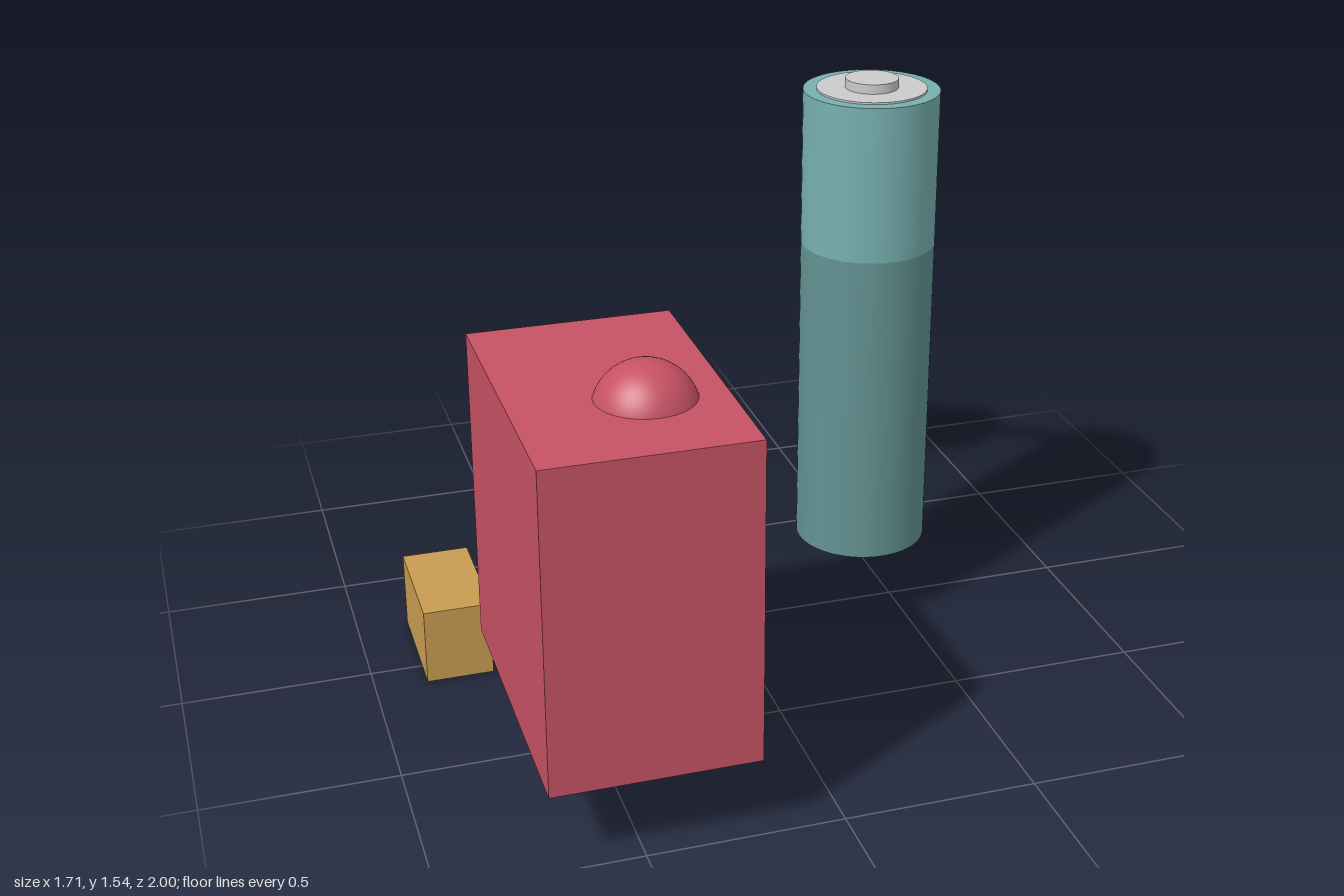
import * as THREE from 'three';

const material = (color) => new THREE.MeshStandardMaterial({ color });
const red = material(0xc65264);
const wood = material(0xc89b52);
const teal = material(0x78b0b0);
const darkTeal = material(0x639292);
const metal = material(0xcccccc);

function add(parent, name, geometry, mat, x = 0, y = 0, z = 0) {
  const mesh = new THREE.Mesh(geometry, mat);
  mesh.name = name;
  mesh.position.set(x, y, z);
  parent.add(mesh);
  return mesh;
}

// Upright cylinder between two heights
function rod(parent, name, radius, y0, y1, mat, x = 0, segments = 64) {
  return add(parent, name, new THREE.CylinderGeometry(radius, radius, y1 - y0, segments),
    mat, x, (y0 + y1) / 2);
}

function group(parent, name, x, y, z) {
  const g = new THREE.Group();
  g.name = name;
  g.position.set(x, y, z);
  parent.add(g);
  return g;
}

export function createModel() {
  const model = new THREE.Group();
  model.name = 'electronicParts';

  // Small wooden block
  add(model, 'smallBlock', new THREE.BoxGeometry(0.18, 0.21, 0.33), wood, -0.77, 0.105, -0.08);

  // Large box with a domed button on its lid
  const box = group(model, 'buttonBox', -0.47, 0.21, 0.605);
  add(box, 'boxBody', new THREE.BoxGeometry(0.52, 0.84, 0.79), red, 0, 0.42, 0);
  add(box, 'domeButton', new THREE.SphereGeometry(0.13, 48, 32), red, 0.065, 0.80, 0.095);

  // Battery: two-tone sleeve, end discs and positive terminal
  const battery = group(model, 'battery', 0.41, 0, -0.02);
  rod(battery, 'lowerSleeve', 0.18, 0.218, 1.09, darkTeal);
  rod(battery, 'upperSleeve', 0.18, 1.09, 1.51, teal);
  rod(battery, 'negativeDisc', 0.145, 0.212, 0.23, metal);
  rod(battery, 'positiveDisc', 0.145, 1.5, 1.515, metal);
  rod(battery, 'positiveTerminal', 0.07, 1.51, 1.54, metal);

  // Tilted lamp: origin at the centre of the flange face, leads along local +y
  const lamp = group(model, 'lamp', 0.712, 0.58, -0.73);
  lamp.rotation.x = THREE.MathUtils.degToRad(40);
  rod(lamp, 'flange', 0.142, -0.047, 0, red);
  const profile = [];
  for (let i = 0; i <= 16; i++) {
    const a = (i / 16) * Math.PI / 2;
    profile.push(new THREE.Vector2(0.128 * Math.sin(a), -0.215 - 0.128 * Math.cos(a)));
  }
  profile.push(new THREE.Vector2(0.128, -0.04));
  add(lamp, 'lens', new THREE.LatheGeometry(profile, 48), red);
  rod(lamp, 'longLead', 0.012, -0.02, 0.58, metal, -0.045, 16);
  rod(lamp, 'shortLead', 0.012, -0.02, 0.45, metal, 0.045, 16);

  return model;
}
